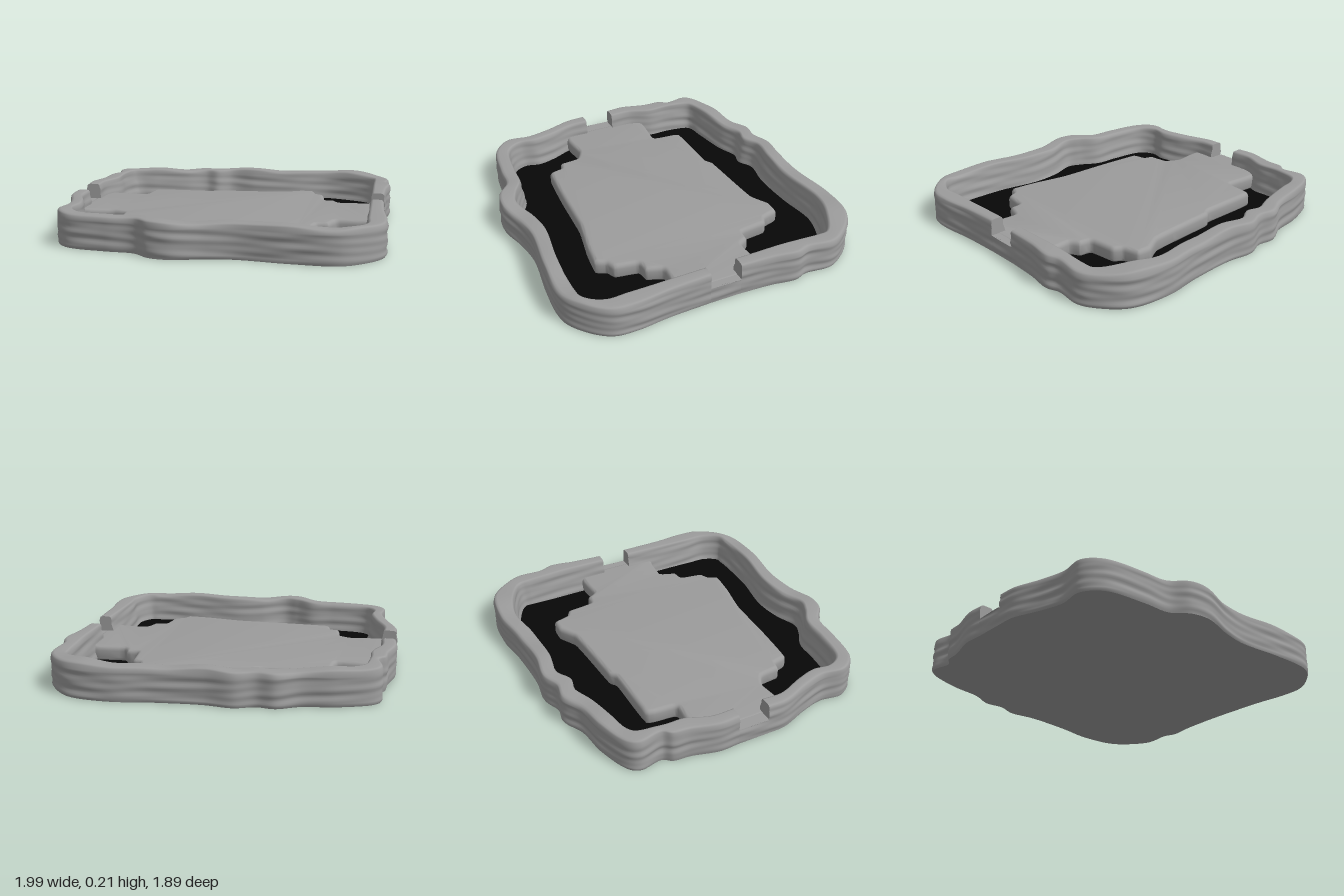
import * as THREE from 'three';
import { toCreasedNormals } from 'three/addons/utils/BufferGeometryUtils.js';

const stone = new THREE.MeshStandardMaterial({ color: 0x9c9c9c });
const black = new THREE.MeshStandardMaterial({ color: 0x070707 });

// Wall stations: outer x, outer z, inner x, inner z
const frontWall = [
  [0.965, 0.095, 0.88, 0.095], [0.975, 0.35, 0.88, 0.35], [0.995, 0.56, 0.88, 0.56],
  [0.98, 0.69, 0.88, 0.69], [0.88, 0.82, 0.82, 0.79], [0.75, 0.9, 0.74, 0.81],
  [0.48, 0.9, 0.45, 0.805], [0.19, 0.87, 0.16, 0.77], [0.03, 0.89, -0.01, 0.79],
  [-0.17, 0.94, -0.18, 0.84], [-0.29, 0.92, -0.27, 0.81], [-0.39, 0.845, -0.38, 0.75],
  [-0.56, 0.83, -0.54, 0.74], [-0.8, 0.785, -0.76, 0.7], [-0.895, 0.68, -0.82, 0.61],
  [-0.885, 0.53, -0.81, 0.5], [-0.92, 0.39, -0.84, 0.38], [-0.985, 0.21, -0.9, 0.22],
  [-0.99, 0.095, -0.9, 0.095],
];
const backWall = [
  [-0.99, -0.095, -0.9, -0.095], [-0.995, -0.21, -0.9, -0.23], [-0.955, -0.38, -0.85, -0.37],
  [-0.945, -0.48, -0.85, -0.48], [-0.91, -0.53, -0.845, -0.54], [-0.93, -0.67, -0.825, -0.65],
  [-0.89, -0.73, -0.79, -0.68], [-0.69, -0.81, -0.665, -0.71], [-0.5, -0.84, -0.46, -0.75],
  [-0.37, -0.9, -0.33, -0.8], [-0.26, -0.89, -0.24, -0.785], [-0.14, -0.93, -0.14, -0.835],
  [0.03, -0.91, 0.03, -0.815], [0.32, -0.925, 0.3, -0.82], [0.55, -0.955, 0.55, -0.85],
  [0.8, -0.915, 0.74, -0.795], [0.94, -0.78, 0.87, -0.71], [0.98, -0.69, 0.88, -0.64],
  [0.97, -0.53, 0.88, -0.5], [0.995, -0.45, 0.88, -0.42], [0.975, -0.29, 0.88, -0.28],
  [0.965, -0.095, 0.88, -0.095],
];
const leftWallSill = [frontWall.at(-1), backWall[0]];
const rightWallSill = [backWall.at(-1), frontWall[0]];

// Broken horizontal layers worn into the stone
const ripple = (x, y, z) => 0.005 + 0.0035 * Math.sin(5 * x + 6 * z)
  * Math.sin(y * 80 + 2 * Math.sin(4 * x + 1) + 2 * Math.sin(5 * z))
  + 0.0015 * Math.sin(y * 130 + 6 * x - 4 * z);

// Wall cross-section from the outer foot, over the rim, to the inner foot
function section(o, i, maxY) {
  const dir = i.clone().sub(o), w = dir.length();
  dir.normalize();
  const top = 0.204 + 0.006 * Math.sin(9 * o.x + 5 * o.z) + 0.003 * Math.sin(17 * o.x - 8 * o.z);
  const pts = [];
  const add = (d, y) => {
    const p = o.clone().addScaledVector(dir, d);
    pts.push(p.setY(Math.min(y, maxY)));
  };
  add(0.01, 0);
  for (let k = 0; k <= 16; k++) {
    const y = 0.012 + 0.01 * k;
    add(ripple(o.x, y, o.z), y);
  }
  add(0.008, top - 0.012);
  add(0.015, top - 0.004);
  add(0.028, top);
  add(w - 0.016, top);
  add(w - 0.006, top - 0.003);
  add(w, top - 0.012);
  for (let k = 0; k <= 14; k++) {
    const t = k / 14, y = 0.18 - 0.165 * t;
    add(w + 0.026 * t + 0.006 - ripple(i.x, y, i.z), y);
  }
  return pts;
}

function sections(stations, steps, maxY) {
  const [o, i] = [0, 2].map(k => new THREE.CatmullRomCurve3(
    stations.map(s => new THREE.Vector3(s[k], 0, s[k + 1]))));
  return Array.from({ length: steps + 1 }, (_, n) =>
    section(o.getPoint(n / steps), i.getPoint(n / steps), maxY));
}

function meshFrom(points, index, name) {
  const g = new THREE.BufferGeometry().setFromPoints(points);
  g.setIndex(index);
  g.computeVertexNormals();
  const m = new THREE.Mesh(g, stone);
  m.name = name;
  return m;
}

function loft(rows, name) {
  const n = rows[0].length, index = [];
  for (let r = 0; r < rows.length - 1; r++)
    for (let j = 0; j < n - 1; j++) {
      const a = r * n + j, b = a + 1, c = b + n, d = a + n;
      index.push(a, b, c, a, c, d);
    }
  return meshFrom(rows.flat(), index, name);
}

// Flat end of a wall beside a notch
function endCap(row, isStart, name) {
  const centre = new THREE.Vector3();
  row.forEach(p => centre.addScaledVector(p, 1 / row.length));
  const index = [], n = row.length;
  for (let j = 0; j < n; j++) {
    const a = j + 1, b = (j + 1) % n + 1;
    index.push(0, isStart ? b : a, isStart ? a : b);
  }
  return meshFrom([centre, ...row], index, name);
}

export function createModel() {
  const group = new THREE.Group();
  group.name = 'walledPool';

  // Walls and the low sills in the two notches
  const front = sections(frontWall, 180, 1), back = sections(backWall, 200, 1);
  const left = sections(leftWallSill, 6, 0.108), right = sections(rightWallSill, 6, 0.108);
  group.add(loft(front, 'frontWall'), loft(back, 'backWall'),
    loft(left, 'leftNotchSill'), loft(right, 'rightNotchSill'));
  for (const [rows, name] of [[front, 'frontWallEnd'], [back, 'backWallEnd']])
    group.add(endCap(rows[0], true, name), endCap(rows.at(-1), false, name));

  // Underside and dark pit floor follow the wall feet
  const rings = [...front, ...left.slice(1, -1), ...back, ...right.slice(1, -1)];
  const base = new THREE.Mesh(new THREE.ShapeGeometry(new THREE.Shape(
    rings.map(r => new THREE.Vector2(r[0].x, r[0].z)))).rotateX(Math.PI / 2), stone);
  base.name = 'underside';
  const floor = new THREE.Mesh(new THREE.ShapeGeometry(new THREE.Shape(
    rings.map(r => new THREE.Vector2(r.at(-1).x, -r.at(-1).z)))).rotateX(-Math.PI / 2), black);
  floor.position.y = 0.02;
  floor.name = 'pitFloor';
  group.add(base, floor);

  // Raised platform with stepped, softly rounded edges
  const edge = new THREE.CatmullRomCurve3([
    [-0.92, -0.305], [-0.655, -0.305], [-0.635, -0.35], [-0.61, -0.49], [-0.24, -0.5],
    [-0.18, -0.53], [0.11, -0.55], [0.27, -0.565], [0.38, -0.625], [0.47, -0.62],
    [0.5, -0.525], [0.55, -0.49], [0.57, -0.33], [0.64, -0.315], [0.68, -0.26],
    [0.92, -0.25], [0.92, 0.27], [0.84, 0.265], [0.69, 0.255], [0.65, 0.35],
    [0.58, 0.365], [0.555, 0.5], [0.5, 0.53], [0.465, 0.59], [0.3, 0.575],
    [0.08, 0.535], [-0.24, 0.525], [-0.52, 0.505], [-0.55, 0.42], [-0.605, 0.4],
    [-0.62, 0.28], [-0.7, 0.235], [-0.92, 0.24],
  ].map(([x, z]) => new THREE.Vector3(x, -z, 0)), true, 'catmullrom', 0.2);
  const outline = edge.getPoints(33 * 5).slice(0, -1).map(p => new THREE.Vector2(p.x, p.y));
  const platform = new THREE.Mesh(toCreasedNormals(
    new THREE.ExtrudeGeometry(new THREE.Shape(outline), {
      depth: 0.04, bevelThickness: 0.03, bevelSize: 0.025, bevelOffset: -0.025, bevelSegments: 5,
    }).rotateX(-Math.PI / 2), 0.9), stone);
  platform.position.y = 0.04;
  platform.name = 'platform';
  group.add(platform);

  return group;
}
